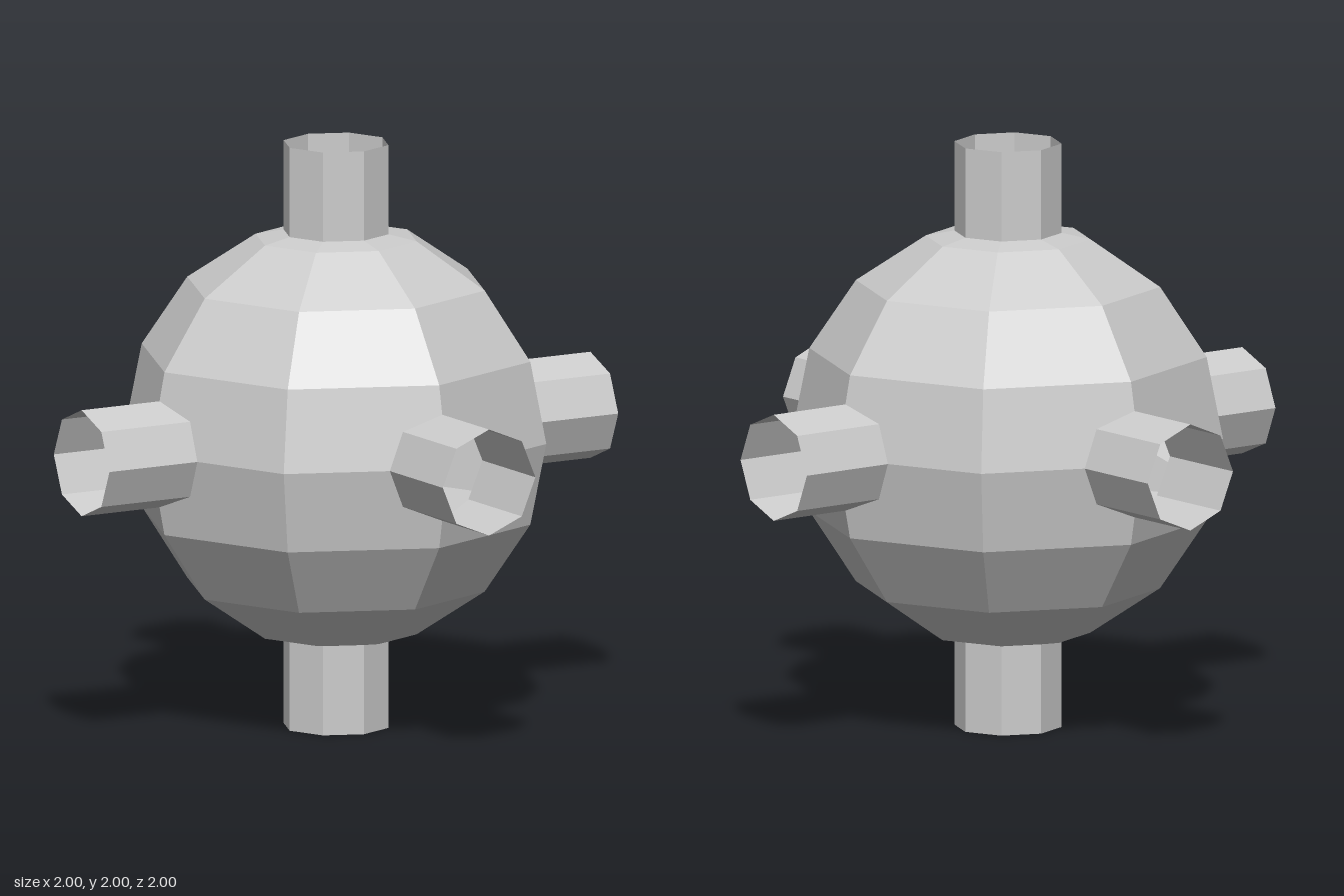
import * as THREE from 'three';

const R = 0.73;          // shell radius
const P = 0.182;         // pipe radius
const SIDES = 8;
const STEP = Math.PI / 8;
const RING_R = R * Math.cos(STEP), RING_Y = R * Math.sin(STEP); // ring next to the equator
const SLOPE_Y = (R - RING_R) / RING_Y;
const SLOPE_Z = Math.tan(STEP);

// Distance of the faceted shell along a horizontal axis, near that axis
const shellX = (y, z) => R - SLOPE_Y * Math.abs(y) - SLOPE_Z * Math.abs(z);

const material = new THREE.MeshStandardMaterial({
  color: 0xcccccc, flatShading: true, side: THREE.DoubleSide,
});

function addMesh(parent, geometry, name) {
  const mesh = new THREE.Mesh(geometry, material);
  mesh.name = name;
  parent.add(mesh);
  return mesh;
}

// Upper or lower dome, open at the pole where the pipe joins
function domeGeometry(sign) {
  const points = [new THREE.Vector2(RING_R, sign * RING_Y)];
  for (const k of [2, 3]) {
    points.push(new THREE.Vector2(R * Math.cos(k * STEP), sign * R * Math.sin(k * STEP)));
  }
  points.push(new THREE.Vector2(P, sign * (R - SLOPE_Y * P)));
  if (sign < 0) points.reverse();
  return new THREE.LatheGeometry(points, SIDES);
}

// Four equatorial panels around +x, notched by the octagonal pipe opening
function openingGeometry() {
  const d = P * Math.SQRT1_2, c = Math.SQRT1_2;
  const outline = [
    [RING_R * c, RING_Y, RING_R * c],
    [RING_R, RING_Y, 0],
    [shellX(P, 0), P, 0],
    [shellX(d, d), d, d],
    [shellX(0, P), 0, P],
    [R * c, 0, R * c],
  ];
  const positions = [];
  for (const sy of [1, -1]) for (const sz of [1, -1]) {
    for (let i = 1; i < outline.length - 1; i++) {
      const tri = [outline[0], outline[i], outline[i + 1]];
      if (sy * sz > 0) tri.reverse();
      for (const [x, y, z] of tri) positions.push(x, y * sy, z * sz);
    }
  }
  const geometry = new THREE.BufferGeometry();
  geometry.setAttribute('position', new THREE.Float32BufferAttribute(positions, 3));
  geometry.computeVertexNormals();
  return geometry;
}

// Open pipe along +y, from the shell to the outer end
function pipeGeometry() {
  const start = R - SLOPE_Y * P;
  return new THREE.CylinderGeometry(P, P, 1 - start, SIDES, 1, true)
    .translate(0, (1 + start) / 2, 0);
}

// Pipe along +x with its inner rim fitted to the shell facets
function sidePipeGeometry() {
  const geometry = pipeGeometry().rotateZ(-Math.PI / 2);
  const p = geometry.attributes.position;
  for (let i = 0; i < p.count; i++) {
    if (p.getX(i) < 0.9) p.setX(i, shellX(p.getY(i), p.getZ(i)));
  }
  geometry.computeVertexNormals();
  return geometry;
}

export function createModel() {
  const model = new THREE.Group();
  model.name = 'sixWayPipeSphere';
  const body = new THREE.Group();
  body.position.y = 1;
  model.add(body);

  // Domes and vertical pipes
  addMesh(body, domeGeometry(1), 'upperDome');
  addMesh(body, domeGeometry(-1), 'lowerDome');
  addMesh(body, pipeGeometry(), 'topPipe');
  addMesh(body, pipeGeometry(), 'bottomPipe').rotation.x = Math.PI;

  // Equatorial panels and horizontal pipes
  ['left', 'back', 'right', 'front'].forEach((side, i) => {
    const turn = i * Math.PI / 2;
    addMesh(body, openingGeometry(), side + 'Panels').rotation.y = turn;
    addMesh(body, sidePipeGeometry(), side + 'Pipe').rotation.y = turn;
  });
  return model;
}
